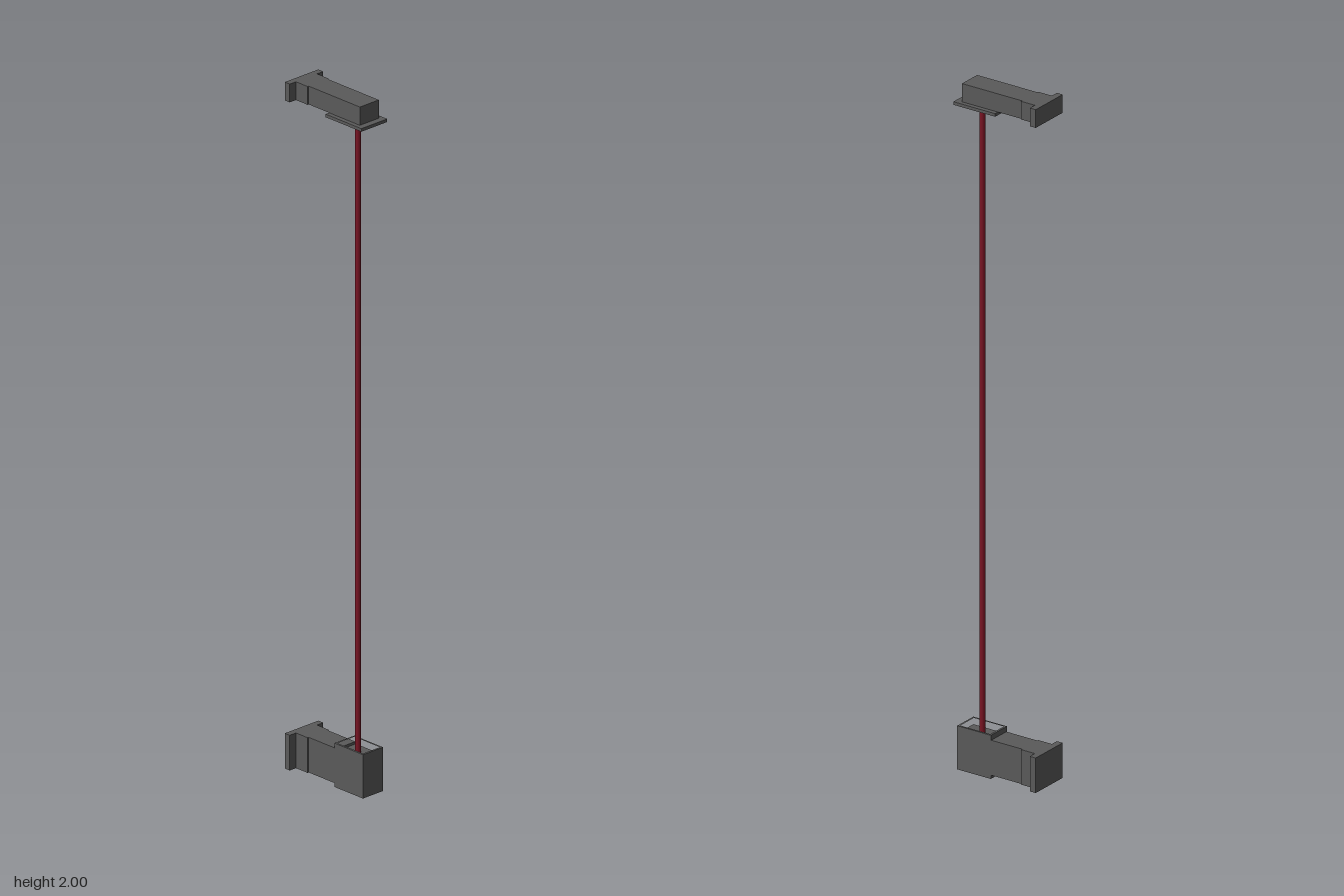
import * as THREE from 'three';

const grey = new THREE.MeshStandardMaterial({ color: 0x5a5a5a });
const red = new THREE.MeshStandardMaterial({ color: 0x7a1424 });

// Box given by its half width in x and its y and z ranges
function box(name, halfX, y0, y1, z0, z1) {
  const mesh = new THREE.Mesh(new THREE.BoxGeometry(halfX * 2, y1 - y0, z1 - z0), grey);
  mesh.name = name;
  mesh.position.set(0, (y0 + y1) / 2, (z0 + z1) / 2);
  return mesh;
}

// Wall bracket: flange against the wall, a slightly wider collar, then the arm
function bracket(name, y0, y1, armEnd) {
  const group = new THREE.Group();
  group.name = name;
  group.add(
    box('wallFlange', 0.062, y0, y1, -0.141, -0.122),
    box('collar', 0.039, y0, y1, -0.122, -0.077),
    box('arm', 0.035, y0, y1, -0.077, armEnd)
  );
  return group;
}

// Open-topped housing: extruded square ring on a solid base
function housing() {
  const group = new THREE.Group();
  group.name = 'lowerHousing';
  const halfX = 0.037, z0 = 0.024, z1 = 0.134, wall = 0.006, floor = 0.105, top = 0.127;
  const rect = (Type, inset) => {
    const x = halfX - inset, a = z0 + inset, b = z1 - inset;
    return new Type([[-x, -a], [x, -a], [x, -b], [-x, -b]].map(p => new THREE.Vector2(...p)));
  };
  const shape = rect(THREE.Shape, 0);
  shape.holes.push(rect(THREE.Path, wall));
  const rim = new THREE.Mesh(
    new THREE.ExtrudeGeometry(shape, { depth: top - floor, bevelEnabled: false }), grey);
  rim.name = 'housingRim';
  rim.rotation.x = -Math.PI / 2;
  rim.position.y = floor;
  group.add(box('housingBase', halfX, 0, floor, z0, z1), rim);
  return group;
}

export function createModel() {
  const model = new THREE.Group();
  model.name = 'cordBetweenBrackets';

  // Upper bracket with the thin plate the cord hangs from
  model.add(bracket('upperBracket', 1.947, 2, 0.12));
  model.add(box('cordPlate', 0.048, 1.938, 1.947, 0.002, 0.139));

  // Lower bracket with the housing that takes the cord
  model.add(bracket('lowerBracket', 0.01, 0.112, 0.03));
  model.add(housing());

  // Cord
  const y0 = 0.1, y1 = 1.94;
  const cord = new THREE.Mesh(new THREE.CylinderGeometry(0.008, 0.008, y1 - y0, 12), red);
  cord.name = 'cord';
  cord.position.set(0, (y0 + y1) / 2, 0.077);
  model.add(cord);

  return model;
}
